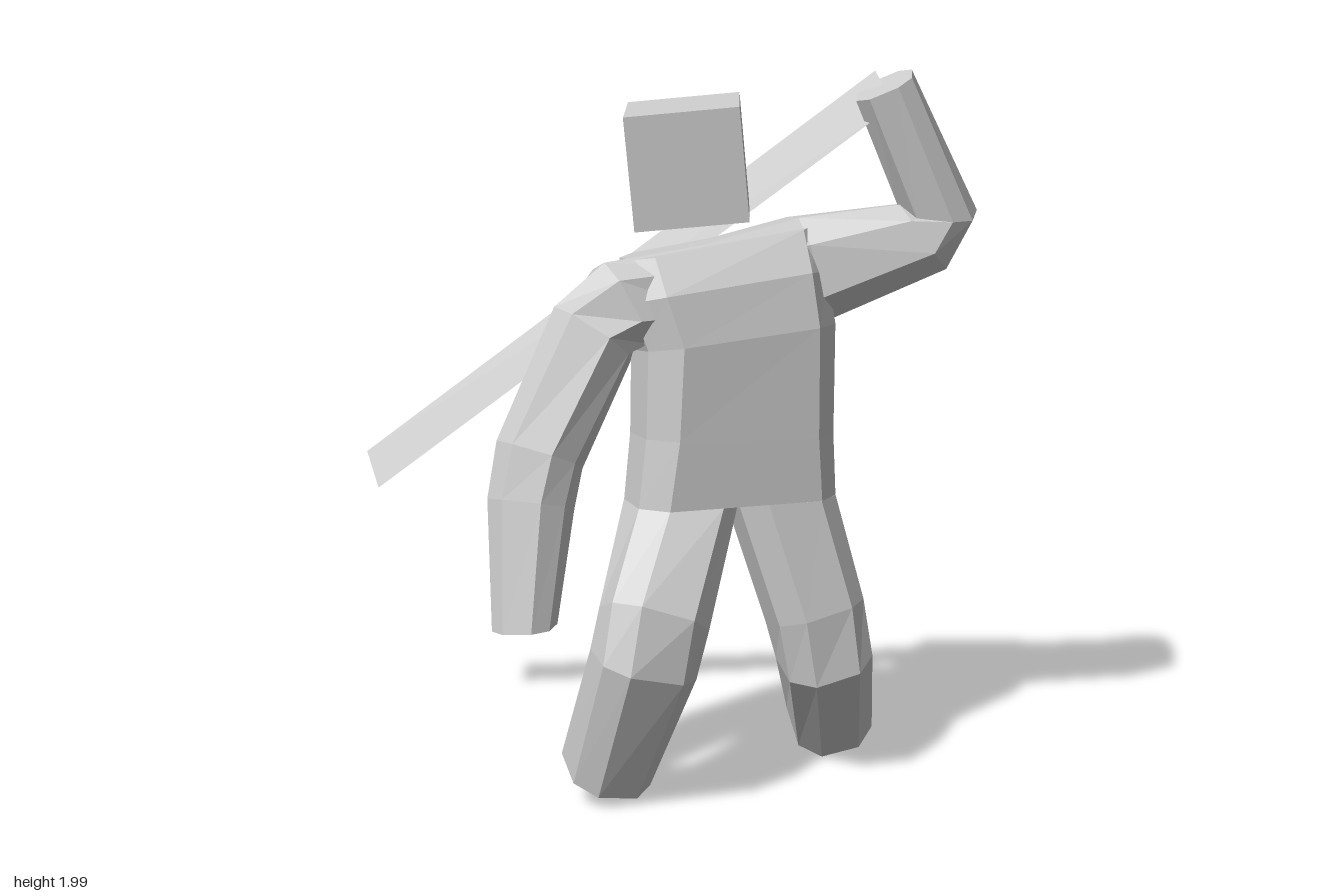
import * as THREE from 'three';

const grey = new THREE.MeshStandardMaterial({ color: 0xcccccc, flatShading: true });
const thin = new THREE.MeshStandardMaterial({ color: 0xcccccc, flatShading: true, side: THREE.DoubleSide });

// Corners of a chamfered rectangle, counter-clockwise: signs, then the chamfer share taken off each axis
const OCT = [
  [1, -1, 0, 1], [1, 1, 0, 1], [1, 1, 1, 0], [-1, 1, 1, 0],
  [-1, 1, 0, 1], [-1, -1, 0, 1], [-1, -1, 1, 0], [1, -1, 1, 0],
];

// Loft along rings [x, y, z, halfSide, halfDepth]; sideRef gives the direction of the side axis
function loft(name, rings, sideRef, ends = {}) {
  const centres = rings.map(r => new THREE.Vector3(r[0], r[1], r[2]));
  const ref = new THREE.Vector3(...sideRef);
  const pos = [], idx = [], n = OCT.length, last = rings.length - 1;
  rings.forEach((r, i) => {
    const c = centres[i], t = new THREE.Vector3();
    if (i > 0) t.add(c.clone().sub(centres[i - 1]).normalize());
    if (i < last) t.add(centres[i + 1].clone().sub(c).normalize());
    if (i === 0 && ends.first) t.set(...ends.first);
    if (i === last && ends.last) t.set(...ends.last);
    t.normalize();
    const side = ref.clone().addScaledVector(t, -ref.dot(t)).normalize();
    const depth = t.clone().cross(side);
    const cut = 0.5 * Math.min(r[3], r[4]);
    for (const [a, b, ca, cb] of OCT) {
      const p = c.clone()
        .addScaledVector(side, a * (r[3] - ca * cut))
        .addScaledVector(depth, b * (r[4] - cb * cut));
      pos.push(p.x, p.y, p.z);
    }
  });
  for (let i = 0; i < last; i++) {
    for (let j = 0; j < n; j++) {
      const a = i * n + j, b = i * n + (j + 1) % n;
      idx.push(a, b, b + n, a, b + n, a + n);
    }
  }
  // End caps
  for (let j = 1; j < n - 1; j++) {
    idx.push(0, j + 1, j);
    idx.push(last * n, last * n + j, last * n + j + 1);
  }
  const g = new THREE.BufferGeometry();
  g.setAttribute('position', new THREE.Float32BufferAttribute(pos, 3));
  g.setIndex(idx);
  g.computeVertexNormals();
  const mesh = new THREE.Mesh(g, grey);
  mesh.name = name;
  return mesh;
}

export function createModel() {
  const model = new THREE.Group();
  model.name = 'figure';
  const twist = [1, 0, -0.28]; // body turned, right side forward
  const down = { first: [0, -1, 0] };

  // Torso, from the crotch up to the sloping neckline
  model.add(loft('torso', [
    [0.175, 0.82, 0.1, 0.29, 0.135],
    [0.18, 1.0, 0.09, 0.275, 0.145],
    [0.183, 1.27, 0.08, 0.275, 0.155],
    [0.15, 1.4, 0.065, 0.29, 0.155],
    [0.14, 1.53, 0.04, 0.27, 0.105],
  ], twist, { first: [0, 1, 0], last: [-0.15, 1, 0] }));

  // Legs, each continuing one half of the torso outline, bent at the knee
  model.add(loft('leftLeg', [
    [0.315, 0.82, 0.061, 0.145, 0.135],
    [0.415, 0.49, 0.098, 0.13, 0.12],
    [0.445, 0.35, 0.095, 0.125, 0.12],
    [0.49, 0.097, -0.135, 0.112, 0.122],
  ], [1, 0, -0.26], down));
  model.add(loft('rightLeg', [
    [0.035, 0.82, 0.139, 0.145, 0.135],
    [-0.05, 0.54, 0.35, 0.14, 0.13],
    [-0.08, 0.42, 0.375, 0.137, 0.12],
    [-0.18, 0.08, 0.25, 0.115, 0.12],
  ], twist, down));

  // One sweep: right hand, right shoulder, chest, left shoulder, raised left hand
  model.add(loft('shouldersAndArms', [
    [-0.4, 0.515, 0.335, 0.085, 0.08],
    [-0.38, 0.84, 0.25, 0.115, 0.108],
    [-0.355, 0.97, 0.22, 0.125, 0.112],
    [-0.21, 1.28, 0.13, 0.15, 0.12],
    [-0.13, 1.36, 0.1, 0.16, 0.125],
    [0.1, 1.4, 0.06, 0.13, 0.125],
    [0.39, 1.44, -0.04, 0.15, 0.15],
    [0.72, 1.535, -0.02, 0.14, 0.11],
    [0.765, 1.605, -0.015, 0.125, 0.1],
    [0.595, 1.957, 0.05, 0.08, 0.082],
  ], [-0.25, 0, 1], { first: [-0.05, 1, -0.05] }));

  // Floating cube head
  const head = new THREE.Mesh(new THREE.BoxGeometry(0.31, 0.31, 0.31), grey);
  head.name = 'head';
  head.position.set(0.055, 1.755, 0.09);
  head.rotation.set(0.08, -0.08, 0.1);
  model.add(head);

  // Thin blade from the raised hand down behind the back
  const blade = new THREE.BufferGeometry();
  blade.setAttribute('position', new THREE.Float32BufferAttribute([
    -0.88, 0.84, -0.5, -0.84, 0.75, -0.39, 0.615, 1.905, 0.1, 0.577, 1.995, 0,
  ], 3));
  blade.setIndex([0, 1, 2, 0, 2, 3]);
  blade.computeVertexNormals();
  const bladeMesh = new THREE.Mesh(blade, thin);
  bladeMesh.name = 'blade';
  model.add(bladeMesh);

  return model;
}
